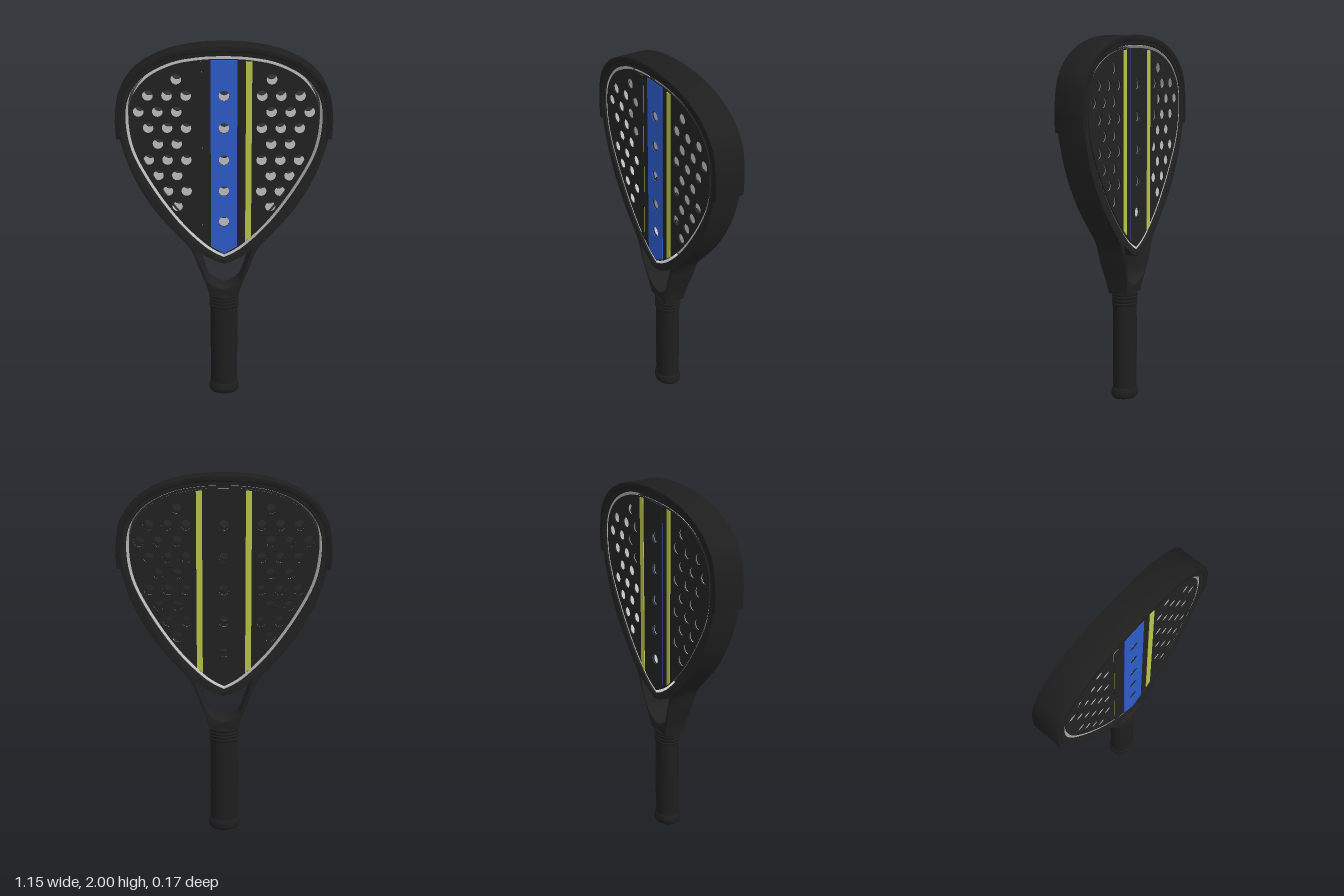
import * as THREE from 'three';
import { toCreasedNormals } from 'three/addons/utils/BufferGeometryUtils.js';

const material = (name, color, side = THREE.FrontSide) => {
  const m = new THREE.MeshStandardMaterial({ color, side });
  m.name = name;
  return m;
};
const V = (x, y) => new THREE.Vector2(x, y);

// Smooth outline through right-half points (bottom to top), mirrored to the left
function mirrored(half, samples, closed = true) {
  const left = half.slice(0, -1).reverse().map(([x, y]) => [-x, y]);
  const pts = [...half, ...left].map(([x, y]) => new THREE.Vector3(x, y, 0));
  const out = new THREE.CatmullRomCurve3(pts, false, 'centripetal').getPoints(samples).map(p => V(p.x, p.y));
  if (closed) out.pop();
  return out;
}

// Moves a closed counter-clockwise outline inwards
function inset(pts, d) {
  const n = pts.length;
  return pts.map((p, i) => {
    const t = pts[(i + 1) % n].clone().sub(pts[(i + n - 1) % n]).normalize();
    return V(p.x - t.y * d, p.y + t.x * d);
  });
}

function shapeOf(points, holes = []) {
  const s = new THREE.Shape(points);
  s.holes = holes.map(h => new THREE.Path(h));
  return s;
}

// Extrudes a shape between two depths, with an optional small bevel
function slab(shape, z0, z1, b = 0) {
  const g = new THREE.ExtrudeGeometry(shape, {
    depth: z1 - z0 - 2 * b, bevelEnabled: b > 0, bevelThickness: b,
    bevelSize: b, bevelOffset: -b, bevelSegments: 2, curveSegments: 16,
  });
  return g.translate(0, 0, z0 + b);
}

const circle = ([x, y], r = 0.028) => Array.from({ length: 24 }, (_, i) => {
  const a = i / 24 * Math.PI * 2;
  return V(x + r * Math.cos(a), y + r * Math.sin(a));
});

export function createModel() {
  const racket = new THREE.Group();
  racket.name = 'racket';
  const carbon = material('carbon black', 0x222222);
  const rubber = material('rubber black', 0x1e1e1e);
  const blue = material('blue', 0x2d5ccb);
  const lime = material('lime', 0xbac648);
  const core = material('core grey', 0xc0c0c0);

  const add = (name, geometry, mat) => {
    const mesh = new THREE.Mesh(toCreasedNormals(geometry, 0.6), mat);
    mesh.name = name;
    racket.add(mesh);
    return mesh;
  };

  // Outlines
  const frameOutline = mirrored([[0.078, 0.595], [0.095, 0.66], [0.132, 0.76], [0.183, 0.885], [0.26, 0.975],
    [0.37, 1.105], [0.475, 1.28], [0.545, 1.48], [0.56, 1.6], [0.533, 1.765], [0.457, 1.86], [0.33, 1.935],
    [0.17, 1.975], [0, 1.987]], 140, false);
  const opening = mirrored([[0, 0.838], [0.055, 0.865], [0.12, 0.912], [0.255, 1.05], [0.41, 1.275], [0.495, 1.455],
    [0.518, 1.63], [0.495, 1.74], [0.417, 1.84], [0.28, 1.912], [0.14, 1.94], [0, 1.947]], 120);
  const faceOutline = inset(opening, 0.016);
  const throat = [...mirrored([[0.15, 0.88], [0.135, 0.83], [0.114, 0.77], [0.084, 0.695], [0.045, 0.663],
    [0, 0.647]], 40, false), V(-0.1, 0.845), V(-0.045, 0.815), V(0, 0.802), V(0.045, 0.815), V(0.1, 0.845)];

  // Frame with throat, thinner towards the handle
  const frame = slab(shapeOf(frameOutline, [opening, throat]), -0.08, 0.08, 0.005);
  const pos = frame.attributes.position;
  for (let i = 0; i < pos.count; i++) {
    const t = THREE.MathUtils.clamp((pos.getY(i) - 0.6) / 0.18, 0, 1);
    pos.setZ(i, pos.getZ(i) * (0.74 + 0.26 * t));
  }
  add('frame', frame, carbon);
  add('frameLining', slab(shapeOf(inset(opening, -0.001), [inset(opening, 0.002)]), -0.07, 0.07), core);

  // Bumper guard around the head
  const guardOuter = mirrored([[0.57, 1.505], [0.573, 1.62], [0.546, 1.77], [0.467, 1.872], [0.335, 1.948],
    [0.17, 1.989], [0, 2]], 70, false);
  const guardInner = mirrored([[0.537, 1.505], [0.542, 1.62], [0.515, 1.755], [0.443, 1.846], [0.32, 1.918],
    [0.165, 1.957], [0, 1.966]], 70, false).reverse();
  add('bumperGuard', slab(shapeOf([...guardOuter, ...guardInner]), -0.086, 0.086, 0.005), rubber);

  // Hole pattern: x positions per row, mirrored
  const rows = [[1.825, 0.25], [1.738, 0.2, 0.3, 0.4], [1.652, 0.25, 0.35, 0.45], [1.565, 0.2, 0.3, 0.4],
    [1.478, 0.25, 0.35], [1.39, 0.2, 0.3, 0.4], [1.304, 0.25, 0.35], [1.217, 0.2, 0.3], [1.13, 0.25]];
  const centreHoles = [1.738, 1.565, 1.39, 1.217, 1.045].map(y => circle([0, y]));
  const holes = [...centreHoles];
  for (const [y, ...xs] of rows) for (const x of xs) holes.push(circle([x, y]), circle([-x, y]));

  // Hitting faces, with the core layer inside the back one
  const face = shapeOf(faceOutline, holes);
  add('frontFace', slab(face, 0.066, 0.074), carbon);
  add('backFace', slab(face, -0.074, -0.066), carbon);
  add('coreLayer', slab(face, -0.066, -0.063), core);

  // Stripes: thin plates on the faces
  const centreStripe = shapeOf([V(0, 0.862), V(0.07, 0.902), V(0.07, 1.926), V(-0.07, 1.926), V(-0.07, 0.902)],
    centreHoles);
  const sideStripe = s => {
    const p = [V(s * 0.115, 0.932), V(s * 0.147, 0.96), V(s * 0.147, 1.918), V(s * 0.115, 1.921)];
    return shapeOf(s > 0 ? p : p.reverse());
  };
  add('frontCentreStripe', slab(centreStripe, 0.074, 0.078), blue);
  add('backCentreStripe', slab(centreStripe, -0.076, -0.074), blue);
  add('backCentreCover', slab(centreStripe, -0.078, -0.076), carbon);
  for (const s of [1, -1]) {
    const side = s > 0 ? 'Left' : 'Right';
    add('front' + side + 'Stripe', slab(sideStripe(s), 0.074, s > 0 ? 0.078 : 0.076), lime);
    add('back' + side + 'Stripe', slab(sideStripe(s), -0.078, -0.074), lime);
  }
  add('frontRightStripeCover', slab(sideStripe(-1), 0.076, 0.078), carbon);

  // Handle parts: oval lathes
  const oval = (name, profile, mat) => {
    const g = new THREE.LatheGeometry(profile.map(([r, y]) => V(r, y)), 40);
    add(name, g, mat).scale.z = 0.84;
  };
  oval('grip', [[0.074, 0.04], [0.076, 0.3], [0.075, 0.53]], rubber);
  oval('buttCap', [[0, 0], [0.074, 0], [0.082, 0.008], [0.085, 0.02], [0.084, 0.038], [0.078, 0.055],
    [0.073, 0.06]], rubber);
  const collar = [[0.073, 0.522]];
  for (let i = 0; i < 4; i++) {
    const y = 0.524 + i * 0.019;
    collar.push([0.078, y], [0.081, y + 0.005], [0.081, y + 0.012], [0.077, y + 0.017]);
  }
  collar.push([0.07, 0.61], [0, 0.615]);
  oval('collar', collar, rubber);

  return racket;
}
